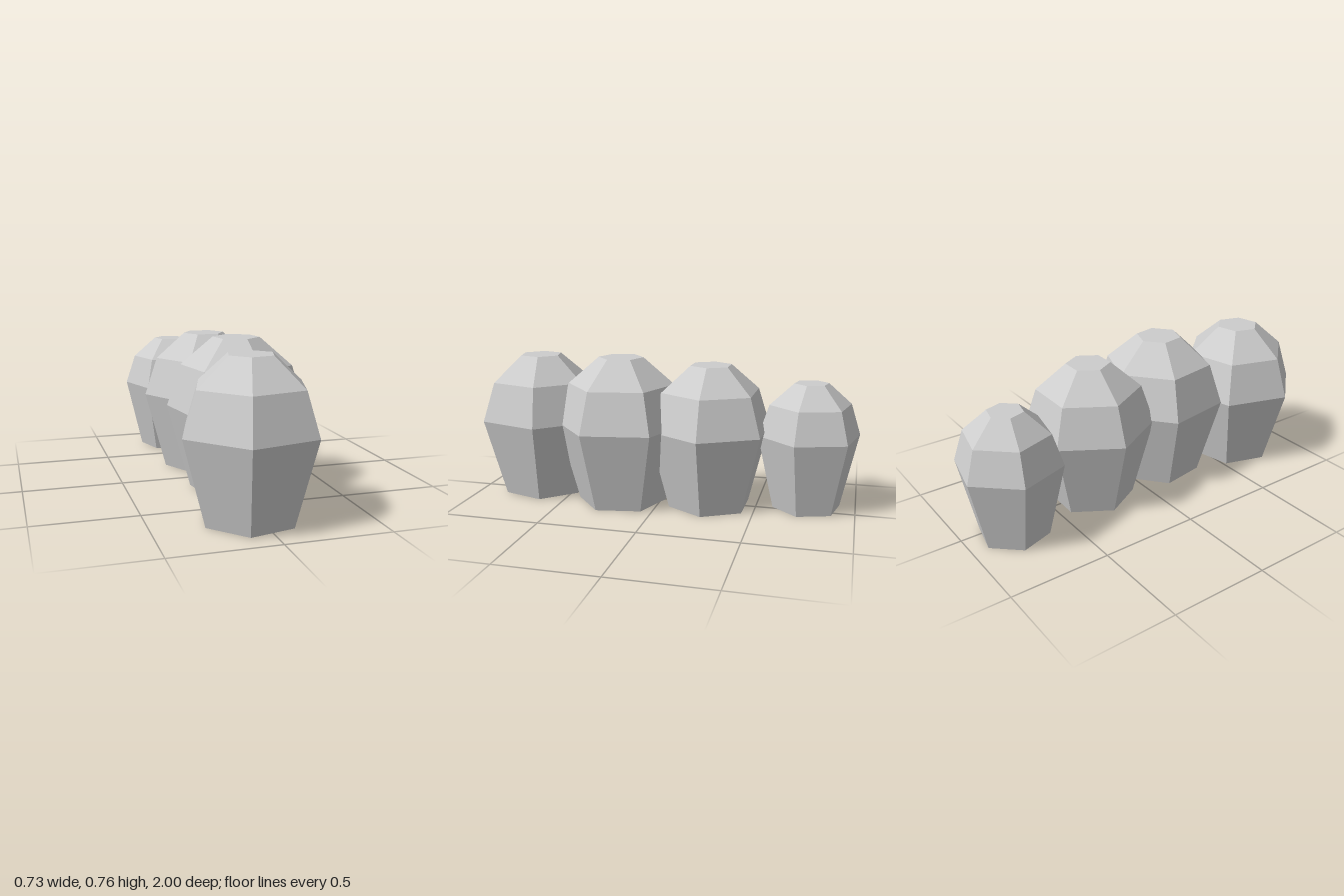
import * as THREE from 'three';

// One open-bottomed, six-sided shrub: tapering sides, domed crown, flat top.
function makeBush({ x, z, radius, height, turn }, material) {
  const waist = 0.186 + 0.3 * height;
  const shoulder = 0.067 + 0.73 * height;
  const profile = [
    [0.67, 0],
    [1, waist],
    [0.8, shoulder],
    [0.335, height],
    [0, height],
  ].map(([r, y]) => new THREE.Vector2(r * radius, y));
  const start = THREE.MathUtils.degToRad(90 - turn);
  const mesh = new THREE.Mesh(new THREE.LatheGeometry(profile, 6, start), material);
  mesh.position.set(x, 0, z);
  return mesh;
}

export function createModel() {
  const group = new THREE.Group();
  group.name = 'bushRow';

  const paleGrey = new THREE.MeshStandardMaterial({
    color: 0xcccccc, flatShading: true, side: THREE.DoubleSide,
  });
  paleGrey.name = 'paleGrey';

  // Row of bushes from front to back; turn is the angle of one corner in degrees
  const bushes = [
    { name: 'frontBush', x: -0.043, z: 0.68, radius: 0.333, height: 0.745, turn: -13 },
    { name: 'frontMiddleBush', x: 0.043, z: 0.205, radius: 0.343, height: 0.76, turn: 20 },
    { name: 'backMiddleBush', x: 0.005, z: -0.256, radius: 0.325, height: 0.732, turn: 1.2 },
    { name: 'backBush', x: -0.072, z: -0.752, radius: 0.262, height: 0.648, turn: 12 },
  ];
  for (const bush of bushes) {
    const mesh = makeBush(bush, paleGrey);
    mesh.name = bush.name;
    group.add(mesh);
  }
  return group;
}
